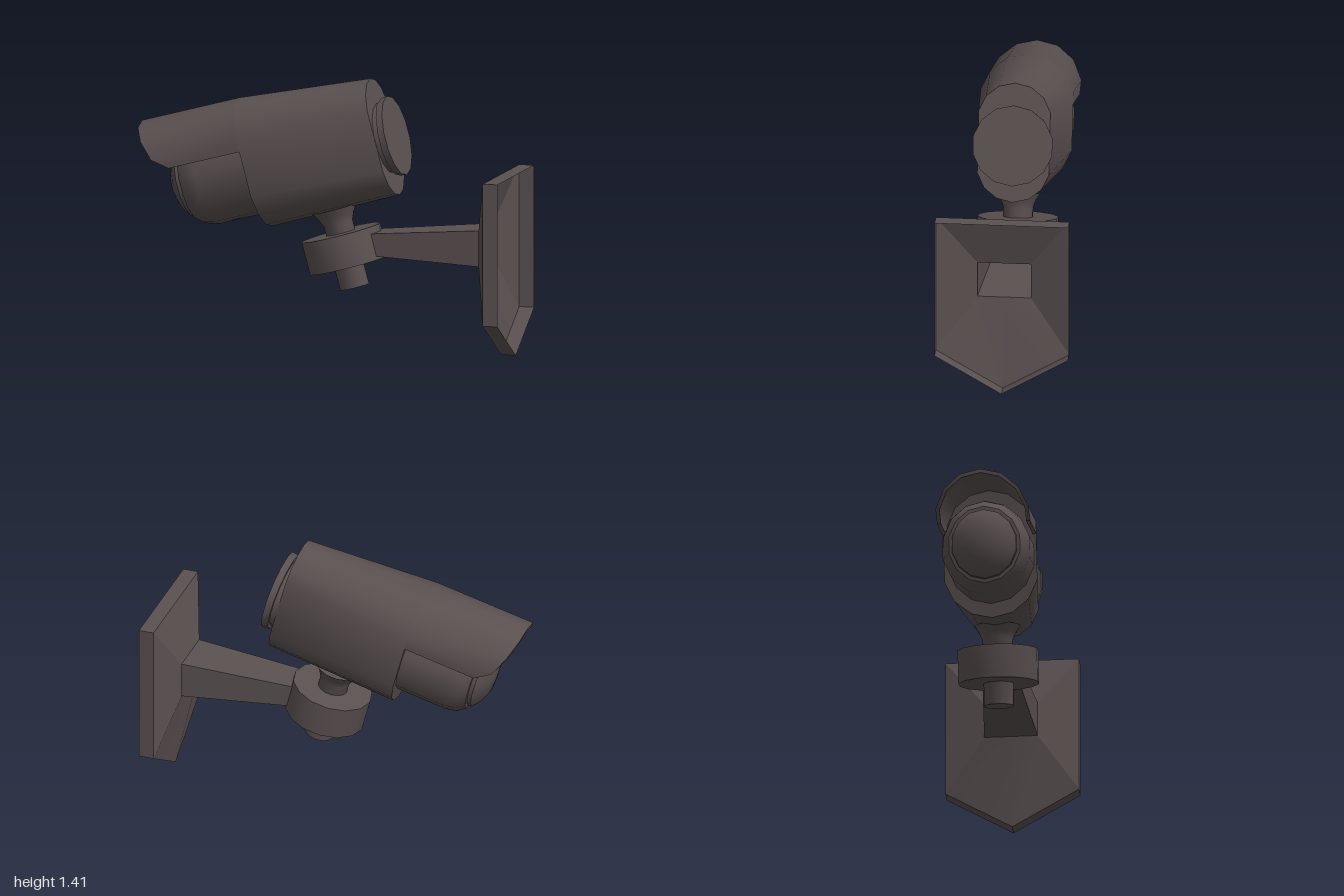
import * as THREE from 'three';
import { toCreasedNormals } from 'three/addons/utils/BufferGeometryUtils.js';

const SIDES = 14;
const STEP = (Math.PI * 2) / SIDES;
const V = (x, y, z) => new THREE.Vector3(x, y, z);

const paint = new THREE.MeshStandardMaterial({ color: 0x5a5050 });
const sheet = new THREE.MeshStandardMaterial({ color: 0x5a5050, side: THREE.DoubleSide });

function part(name, geometry, material = paint, crease = 0.6) {
  const mesh = new THREE.Mesh(toCreasedNormals(geometry, crease), material);
  mesh.name = name;
  return mesh;
}

// Skin closed loops of equal length, optionally closing both ends
function loft(loops, capped) {
  const pos = [];
  const tri = (...pts) => pts.forEach((p) => pos.push(p.x, p.y, p.z));
  const n = loops[0].length;
  for (let k = 0; k < loops.length - 1; k++) {
    const a = loops[k], b = loops[k + 1];
    for (let i = 0; i < n; i++) {
      const j = (i + 1) % n;
      tri(a[i], a[j], b[j]);
      tri(a[i], b[j], b[i]);
    }
  }
  if (capped) {
    const first = loops[0], last = loops[loops.length - 1];
    const mid = (l) => l.reduce((s, p) => s.add(p), V(0, 0, 0)).divideScalar(n);
    for (let i = 0; i < n; i++) {
      const j = (i + 1) % n;
      tri(mid(first), first[j], first[i]);
      tri(mid(last), last[i], last[j]);
    }
  }
  const g = new THREE.BufferGeometry();
  g.setAttribute('position', new THREE.Float32BufferAttribute(pos, 3));
  return g;
}

// Tall round-ended cross-section of the housing
function housingSection(x, r, top, bottom) {
  return Array.from({ length: SIDES }, (_, i) => {
    const c = Math.cos(i * STEP), s = Math.sin(i * STEP);
    return V(x, (c > 0 ? top - r : bottom + r) + r * c, r * s);
  });
}

// Turned part from [radius, height] pairs
function turned(profile) {
  const pts = profile.map(([r, h]) => new THREE.Vector2(r, h));
  return new THREE.LatheGeometry(pts, SIDES, Math.PI / 2);
}

// Thin hood: one quad section per angle, swept over the top
function hoodGeometry() {
  const back = -0.707, r = 0.246, centre = 0.12, wall = 0.02;
  const reach = [1.248, 1.246, 1.225, 1.18, 1.098]; // from crown to lower edge
  const loops = [];
  for (let i = -4; i <= 4; i++) {
    const k = Math.abs(i), front = -reach[k];
    const a = Math.min(k, 3) * STEP * Math.sign(i);
    const at = (x, rad) => V(x, k === 4 ? 0.112 : centre + rad * Math.cos(a), rad * Math.sin(a));
    loops.push([at(back, r), at(front, r), at(front, r - wall), at(back, r - wall)]);
  }
  return loft(loops, true);
}

// Five-point outline of the wall mount at a given x
function mountLoop(x, half, top, shoulder, tip) {
  return [V(x, top, half), V(x, shoulder, half), V(x, tip, 0), V(x, shoulder, -half), V(x, top, -half)];
}

export function createModel() {
  const model = new THREE.Group();
  model.name = 'wallCamera';

  // Tilted camera head, looking along local -x
  const head = new THREE.Group();
  head.name = 'cameraHead';
  head.position.set(0.3, 1.11, 0);
  head.rotation.z = THREE.MathUtils.degToRad(15);
  model.add(head);

  head.add(part('housing', loft([
    housingSection(-0.707, 0.246, 0.366, -0.318),
    housingSection(0, 0.19, 0.31, -0.31),
  ], true)));
  head.add(part('hood', hoodGeometry(), sheet));

  // Lens barrel with bevelled rim and domed glass
  const barrel = part('lensBarrel', turned([
    [0.245, 0.6], [0.245, 0.977], [0.233, 1.035], [0.2, 1.078], [0.182, 1.08],
    [0.18, 1.1], [0.145, 1.13], [0.09, 1.155], [0, 1.166],
  ]));
  barrel.rotation.z = Math.PI / 2;
  barrel.scale.z = 0.94;
  head.add(barrel);

  // Rear cap on a short neck
  const cap = part('rearCap', turned([
    [0, -0.064], [0.21, -0.064], [0.205, -0.028], [0.185, -0.028], [0.185, 0.02],
  ]));
  cap.rotation.z = Math.PI / 2;
  cap.position.y = -0.008;
  head.add(cap);

  // Swivel post and collar under the housing
  const post = part('swivelPost', turned([
    [0, -0.72], [0.078, -0.72], [0.078, -0.38], [0.095, -0.34], [0.12, -0.3],
  ]));
  const collar = part('swivelCollar', turned([
    [0, -0.603], [0.21, -0.603], [0.21, -0.43], [0, -0.43],
  ]));
  for (const p of [post, collar]) {
    p.position.x = -0.36;
    head.add(p);
  }

  // Hollow wall plate, open at the back, and the hollow arm growing from it
  const throat = mountLoop(0.84, 0.138, 0.663, 0.475, 0.475);
  model.add(part('wallPlate', loft([
    throat,
    mountLoop(0.92, 0.345, 0.94, 0.2, 0),
    mountLoop(1, 0.345, 0.94, 0.2, 0),
  ], false), sheet, 0.2));
  model.add(part('arm', loft([
    mountLoop(0.24, 0.095, 0.615, 0.502, 0.502),
    throat,
  ], false), sheet, 0.2));

  return model;
}
